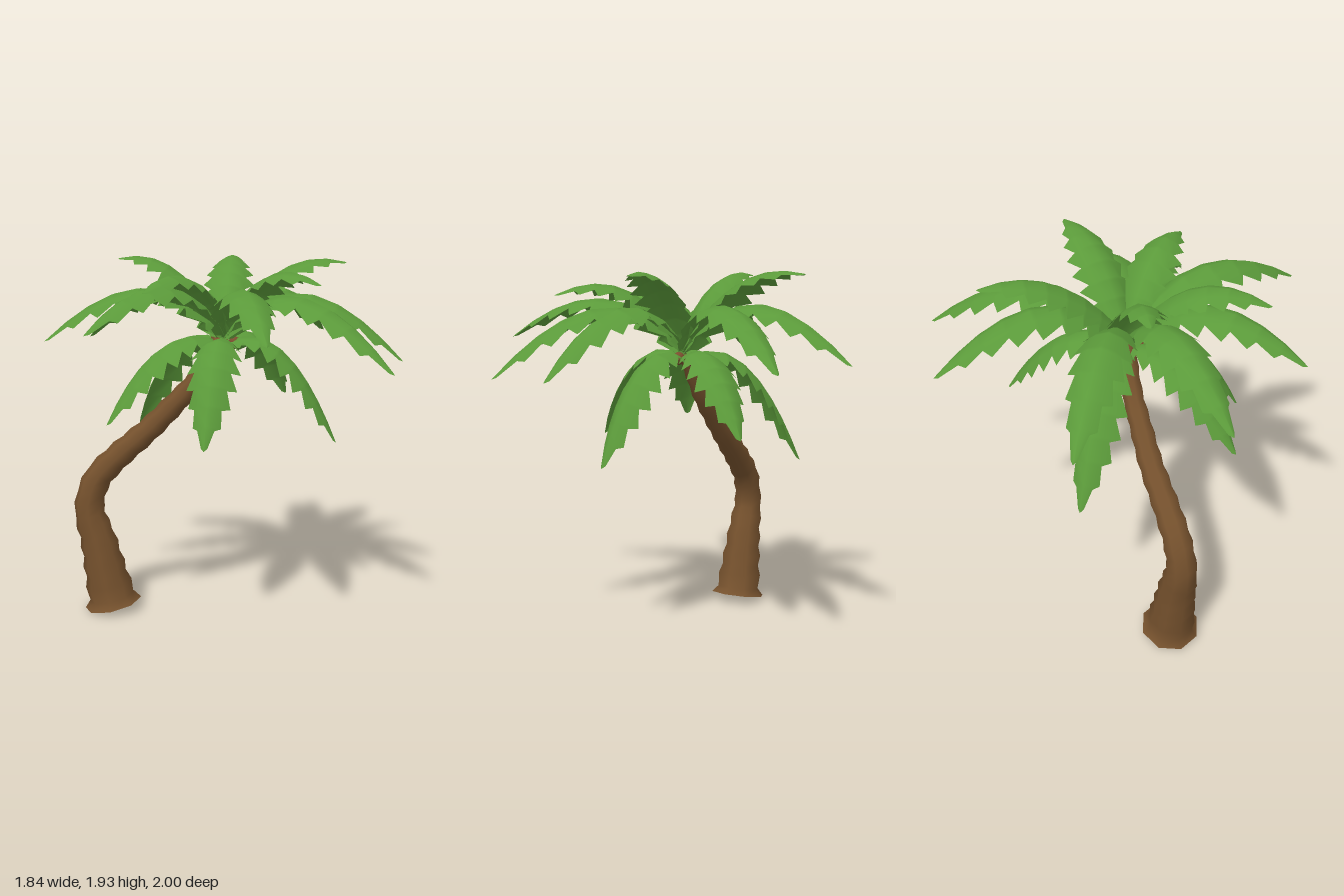
import * as THREE from 'three';

const V = (x, y, z) => new THREE.Vector3(x, y, z);

// Surface from equal-length rows of points; optionally closed around each row
function loft(rows, closed) {
  const n = rows[0].length, index = [];
  const pos = rows.flat().flatMap((p) => [p.x, p.y, p.z]);
  for (let i = 0; i < rows.length - 1; i++) {
    for (let j = 0; j < (closed ? n : n - 1); j++) {
      const k = (j + 1) % n;
      const a = i * n + j, b = i * n + k, c = (i + 1) * n + j, d = (i + 1) * n + k;
      index.push(a, b, d, a, d, c);
    }
  }
  const g = new THREE.BufferGeometry();
  g.setAttribute('position', new THREE.Float32BufferAttribute(pos, 3));
  g.setIndex(index);
  g.computeVertexNormals();
  return g;
}

// Drooping leaf: arched spine, rounded cross-section, saw-toothed edge
function frondGeometry(base, tip, reach, lift, width) {
  const ctrl = V(
    base.x + (tip.x - base.x) * reach, lift,
    base.z + (tip.z - base.z) * reach);
  const spine = new THREE.QuadraticBezierCurve3(base, ctrl, tip);
  const side = V(tip.z - base.z, 0, base.x - tip.x).normalize();
  const teeth = 8, rows = [];
  const addRow = (t, reachOut) => {
    const p = spine.getPointAt(t);
    const up = spine.getTangentAt(t).cross(side).normalize();
    if (up.y < 0) up.negate();
    const w = width * Math.sin(Math.PI * (0.08 + 0.92 * t)) ** 0.75;
    const profile = [-reachOut, -0.5, 0, 0.5, reachOut];
    rows.push(profile.map((s) => p.clone().addScaledVector(side, s * w)
      .addScaledVector(up, -0.55 * Math.abs(s) ** 1.7 * w)));
  };
  for (let i = 0; i < teeth; i++) {
    addRow(i / teeth, 0.74);
    addRow((i + 0.85) / teeth, 1.1);
  }
  addRow(1, 0);
  return loft(rows, false);
}

export function createModel() {
  const model = new THREE.Group();
  const leaf = new THREE.MeshStandardMaterial({ name: 'leaf green', color: 0x5b9a3a, side: THREE.DoubleSide });
  const bark = new THREE.MeshStandardMaterial({ name: 'bark brown', color: 0x75512d });
  const husk = new THREE.MeshStandardMaterial({ name: 'husk brown', color: 0x7a4d2e });
  const add = (parent, name, geometry, material) => {
    const mesh = new THREE.Mesh(geometry, material);
    mesh.name = name;
    parent.add(mesh);
    return mesh;
  };

  // Leaning trunk with ringed bark and a flared foot
  const path = new THREE.CatmullRomCurve3([
    V(-0.617, 0.04, -0.02), V(-0.65, 0.2, -0.02), V(-0.69, 0.4, -0.02), V(-0.735, 0.59, -0.02),
    V(-0.69, 0.745, -0.03), V(-0.585, 0.86, -0.04), V(-0.4, 1.02, -0.055), V(-0.27, 1.15, -0.055),
    V(-0.15, 1.28, -0.055), V(-0.02, 1.5, -0.04),
  ]);
  const ring = (t, r) => {
    const p = path.getPointAt(t);
    const n = V(0, 0, 1).cross(path.getTangentAt(t)).normalize();
    const b = path.getTangentAt(t).cross(n).normalize();
    return Array.from({ length: 8 }, (_, i) => {
      const a = (i / 8) * Math.PI * 2;
      return p.clone().addScaledVector(n, Math.cos(a) * r).addScaledVector(b, Math.sin(a) * r);
    });
  };
  const rings = [ring(0, 0.158), ring(0.022, 0.122)];
  const steps = 30;
  for (let i = 2; i <= steps; i++) {
    const t = i / steps;
    const r = t < 0.33 ? 0.134 - 0.165 * t : 0.0795 - 0.047 * (t - 0.33);
    rings.push(ring(t, r * (i % 2 ? 0.93 : 1.05)));
  }
  const trunk = new THREE.Group();
  trunk.name = 'trunk';
  model.add(trunk);
  add(trunk, 'trunkBark', loft(rings, true), bark);
  const foot = rings[0].map(() => path.getPointAt(0));
  add(trunk, 'trunkFoot', loft([foot, rings[0]], true), bark);
  const crown = rings[rings.length - 1];
  add(trunk, 'trunkTop', loft([crown, crown.map(() => path.getPointAt(1))], true), bark);

  // Coconuts under the crown
  [[-0.035, 1.485, 0.02], [0.055, 1.485, -0.03], [0.0, 1.475, -0.085]].forEach(([x, y, z]) => {
    add(model, 'coconut', new THREE.SphereGeometry(0.034, 10, 8), husk).position.set(x, y, z);
  });

  // Three tiers of fronds, each listed by its tip
  const tiers = [
    { name: 'upperFrond', base: 1.53, reach: 0.42, lift: 2.01, width: 0.128, tips: [
      [0.65, 1.9, -0.13], [0.06, 1.91, -0.75], [-0.56, 1.92, -0.13], [-0.38, 1.78, 0.57], [0.46, 1.81, 0.46]] },
    { name: 'middleFrond', base: 1.51, reach: 0.4, lift: 2.04, width: 0.13, tips: [
      [0.06, 1.48, -1], [0.61, 1.47, -0.89], [0.915, 1.41, 0.16], [0.8, 1.4, 0.59],
      [0.18, 1.58, 1], [-0.65, 1.59, 0.63], [-0.92, 1.51, 0.12], [-0.78, 1.46, -0.58]] },
    { name: 'lowerFrond', base: 1.48, reach: 0.53, lift: 1.68, width: 0.125, tips: [
      [-0.5, 0.91, -0.47], [0.59, 0.97, 0.08], [-0.1, 1.03, 0.57], [0.36, 1.13, -0.57], [-0.59, 1.11, 0.32]] },
  ];
  for (const { name, base, reach, lift, width, tips } of tiers) {
    const tier = new THREE.Group();
    tier.name = name + 's';
    model.add(tier);
    for (const tip of tips) {
      add(tier, name, frondGeometry(V(0, base, -0.03), V(...tip), reach, lift, width), leaf);
    }
  }
  return model;
}
